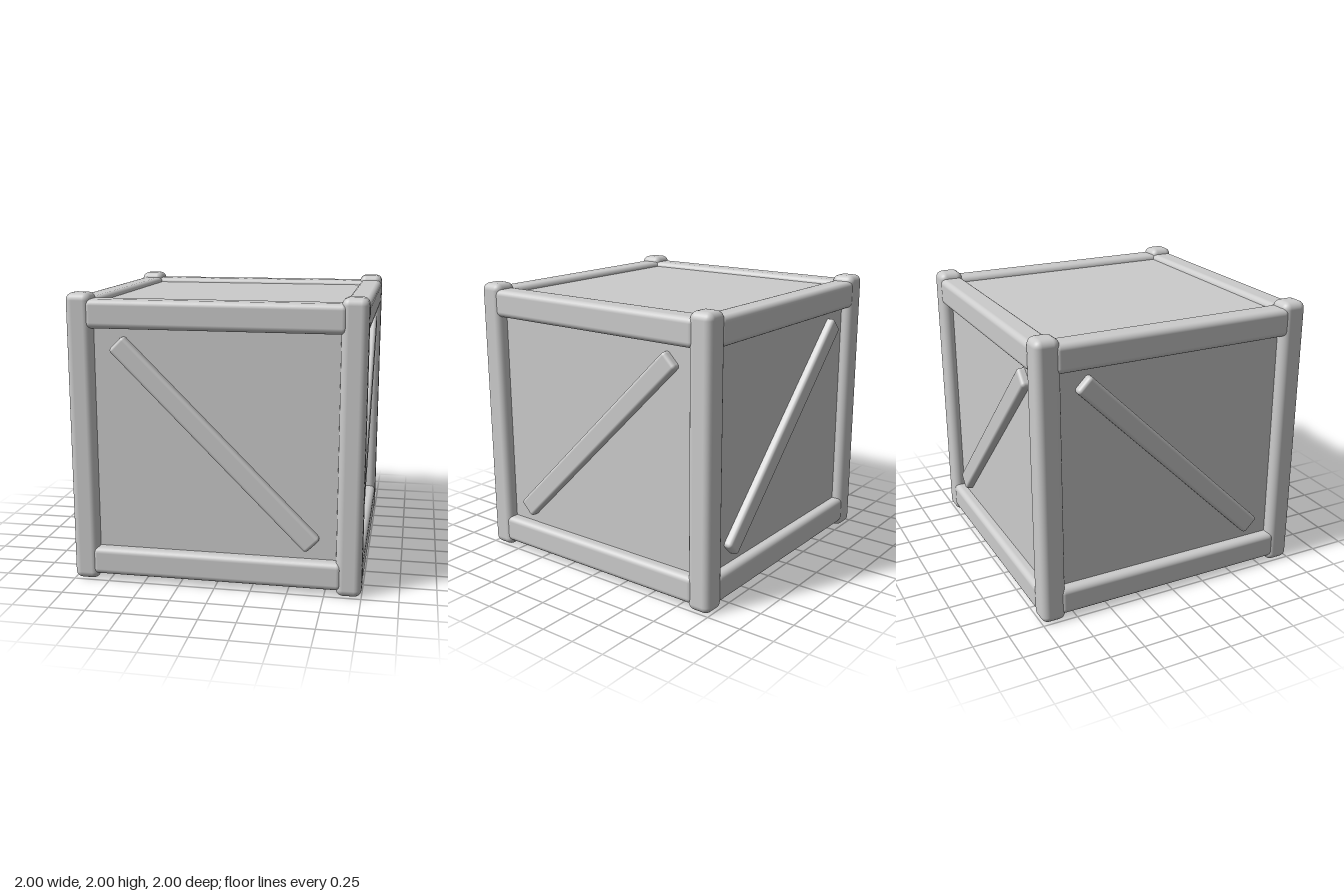
import * as THREE from 'three';
import { RoundedBoxGeometry } from 'three/addons/geometries/RoundedBoxGeometry.js';

export function createModel() {
  const crate = new THREE.Group();
  crate.name = 'crate';
  const grey = new THREE.MeshStandardMaterial({ name: 'light grey', color: 0xcccccc });

  const post = 0.175;          // post and rail thickness
  const railHeight = 0.195;
  const edge = 1 - post / 2;   // centre line of the frame
  const panel = 0.925;         // half size of the recessed inner box

  function add(name, geometry, parent = crate) {
    const mesh = new THREE.Mesh(geometry, grey);
    mesh.name = name;
    parent.add(mesh);
    return mesh;
  }

  // Recessed panels on all six sides
  add('panels', new THREE.BoxGeometry(panel * 2, panel * 2, panel * 2)).position.y = 1;

  // Full-height corner posts with soft edges
  const postGeometry = new RoundedBoxGeometry(post, 2, post, 3, 0.05);
  for (const x of [-edge, edge]) {
    for (const z of [-edge, edge]) add('cornerPost', postGeometry).position.set(x, 1, z);
  }

  // Each side carries two rails and one diagonal brace
  const railGeometry = new RoundedBoxGeometry(1.74, railHeight, post, 3, 0.04);
  const braceGeometry = new RoundedBoxGeometry(1.89, 0.14, 0.11, 3, 0.025);
  const sides = [
    { name: 'frontSide', turn: 0, slope: -1 },
    { name: 'leftSide', turn: Math.PI / 2, slope: 1 },
    { name: 'backSide', turn: Math.PI, slope: 1 },
    { name: 'rightSide', turn: -Math.PI / 2, slope: -1 },
  ];
  for (const { name, turn, slope } of sides) {
    const side = new THREE.Group();
    side.name = name;
    side.rotation.y = turn;
    crate.add(side);

    for (const y of [0.1375, 1.8625]) add('rail', railGeometry, side).position.set(0, y, edge);

    const brace = add('diagonalBrace', braceGeometry, side);
    brace.position.set(0, 1.003, 0.925);
    brace.rotation.z = slope * Math.PI / 4;
  }

  return crate;
}
